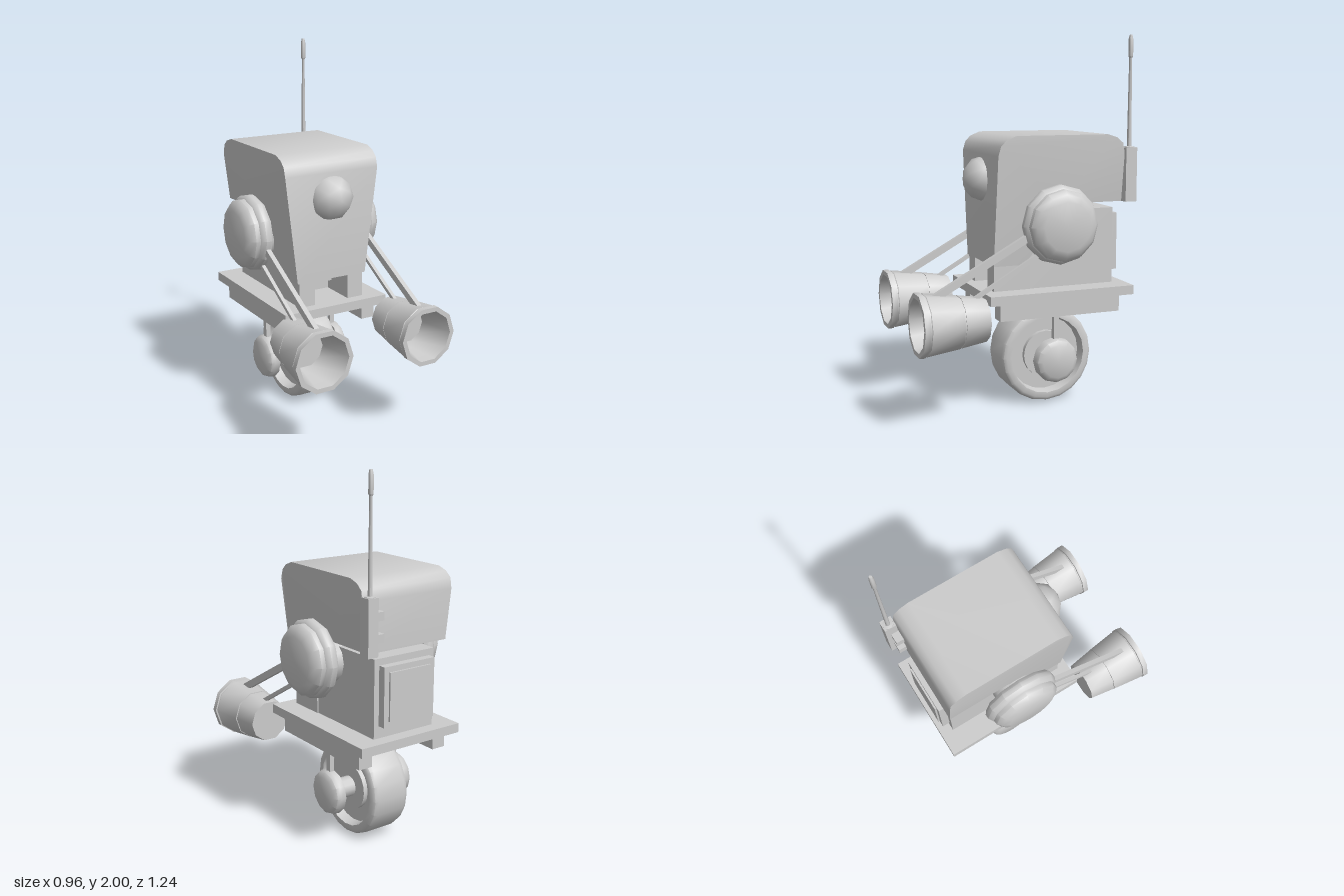
import * as THREE from 'three';
import { toCreasedNormals } from 'three/addons/utils/BufferGeometryUtils.js';

export function createModel() {
  const model = new THREE.Group();
  const grey = new THREE.MeshStandardMaterial({ color: 0xcccccc });

  function add(name, geometry, x = 0, y = 0, z = 0) {
    const mesh = new THREE.Mesh(geometry, grey);
    mesh.name = name;
    mesh.position.set(x, y, z);
    model.add(mesh);
    return mesh;
  }
  // Box given by its limits on each axis
  function box(name, x0, x1, y0, y1, z0, z1) {
    return add(name, new THREE.BoxGeometry(x1 - x0, y1 - y0, z1 - z0),
      (x0 + x1) / 2, (y0 + y1) / 2, (z0 + z1) / 2);
  }
  // Turned part from [radius, height] pairs, with crisp edges
  function turned(points, sides) {
    const lathe = new THREE.LatheGeometry(points.map(p => new THREE.Vector2(...p)), sides);
    return toCreasedNormals(lathe, 0.7);
  }
  // Square bar between two points of the side plane
  function bar(name, x, [z0, y0], [z1, y1], width, thick) {
    const length = Math.hypot(z1 - z0, y1 - y0);
    const mesh = add(name, new THREE.BoxGeometry(width, thick, length), x, (y0 + y1) / 2, (z0 + z1) / 2);
    mesh.rotation.x = -Math.atan2(y1 - y0, z1 - z0);
  }

  // Head: side outline extruded across x, narrowing towards the chin
  const outline = [[0, 0.8], [0.17, 0.8], [0.17, 1.38], [0.155, 1.43], [0.125, 1.46], [0.07, 1.482],
    [-0.45, 1.482], [-0.505, 1.465], [-0.54, 1.435], [-0.55, 1.38], [-0.55, 1.12], [-0.2, 1.12], [-0.04, 0.85]];
  const head = new THREE.ExtrudeGeometry(
    new THREE.Shape(outline.map(([z, y]) => new THREE.Vector2(-z, y)).reverse()),
    { depth: 2, bevelEnabled: false });
  head.translate(0, 0, -1).rotateY(Math.PI / 2);
  const hp = head.attributes.position;
  for (let i = 0; i < hp.count; i++) {
    const t = Math.min(1, (hp.getY(i) - 0.8) / 0.58);
    hp.setX(i, hp.getX(i) * (0.21 + 0.07 * t));
  }
  add('head', toCreasedNormals(head, 0.7));
  add('eye', new THREE.IcosahedronGeometry(0.127, 1), 0, 1.243, 0.14);

  // Torso, neck and back hatch
  box('torso', -0.19, 0.19, 0.66, 1.08, -0.53, -0.04);
  box('neck', -0.16, 0.16, 1.06, 1.14, -0.36, -0.05);
  box('chestStep', -0.11, 0.11, 0.72, 0.75, -0.05, 0.0);
  box('hatchFrame', -0.16, 0.16, 0.73, 1.045, -0.572, -0.52);
  box('hatchPanel', -0.13, 0.13, 0.76, 1.015, -0.582, -0.56);

  // Platform
  box('platform', -0.315, 0.315, 0.615, 0.665, -0.6, 0.225);
  box('underPlate', -0.2, 0.2, 0.575, 0.62, -0.48, 0.11);

  // Parts repeated on both sides
  const shoulder = [[0, 0.28], [0.195, 0.28], [0.21, 0.3], [0.21, 0.325], [0.198, 0.345], [0.19, 0.35],
    [0.188, 0.375], [0.165, 0.4], [0.13, 0.415], [0, 0.415]];
  const cap = [[0, 0.195], [0.123, 0.195], [0.123, 0.225], [0.115, 0.245], [0.09, 0.26], [0, 0.26]];
  const cannon = [[0, 0.262], [0.114, 0.262], [0.135, 0.398], [0.131, 0.398], [0.131, 0.404], [0.137, 0.404],
    [0.16, 0.58], [0.157, 0.583], [0.157, 0.588], [0.165, 0.59], [0.165, 0.62],
    [0.14, 0.62], [0.1, 0.43], [0, 0.43]];
  for (const s of [1, -1]) {
    const side = s > 0 ? 'left' : 'right';
    const turn = -s * Math.PI / 2;
    add(side + 'Shoulder', turned(shoulder, 12).rotateZ(turn), 0, 1.02, -0.16);
    add(side + 'ShoulderAxle', new THREE.CylinderGeometry(0.115, 0.115, 0.15, 12).rotateZ(turn), s * 0.225, 0.995, -0.16);
    bar(side + 'UpperArm', s * 0.312, [-0.08, 1.017], [0.55, 0.672], 0.026, 0.038);
    bar(side + 'LowerArm', s * 0.312, [-0.08, 0.892], [0.36, 0.637], 0.02, 0.02);
    add(side + 'Cannon', turned(cannon, 10).rotateY(Math.PI / 10).rotateX(Math.PI / 2), s * 0.315, 0.555, 0);
    box(side + 'FrontFoot', s * 0.15 - 0.047, s * 0.15 + 0.047, 0.66, 0.805, -0.04, 0.165);
    box(side + 'Rail', s * 0.24 - 0.04, s * 0.24 + 0.04, 0.522, 0.62, -0.53, 0.16);
    box(side + 'WheelStrut', s * 0.212 - 0.014, s * 0.212 + 0.014, 0.27, 0.56, -0.198, -0.168);
    add(side + 'HubCap', turned(cap, 12).rotateZ(turn), 0, 0.265, -0.183);
  }

  // Wheel with dished sides
  const half = [[0.265, 0.085], [0.258, 0.105], [0.242, 0.115], [0.215, 0.115], [0.205, 0.06],
    [0.13, 0.06], [0.13, 0.085], [0, 0.085]];
  const tyre = [...half.map(([r, y]) => [r, -y]).reverse(), ...half];
  add('wheel', turned(tyre, 20).rotateZ(Math.PI / 2), 0, 0.265, -0.183);
  add('axle', new THREE.CylinderGeometry(0.056, 0.056, 0.4, 12).rotateZ(Math.PI / 2), 0, 0.265, -0.183);

  // Aerial on a bracketed box behind the head
  box('aerialBox', 0.235, 0.295, 1.12, 1.41, -0.617, -0.552);
  for (const y of [1.2, 1.31]) {
    box('aerialBracket', 0.18, 0.24, y - 0.022, y + 0.022, -0.592, -0.545);
  }
  const rod = [[0, 1.4], [0.028, 1.4], [0.028, 1.413], [0.012, 1.415], [0.008, 1.88],
    [0.013, 1.89], [0.013, 1.975], [0.008, 2], [0, 2]];
  add('aerial', turned(rod, 10), 0.262, 0, -0.585);

  return model;
}
